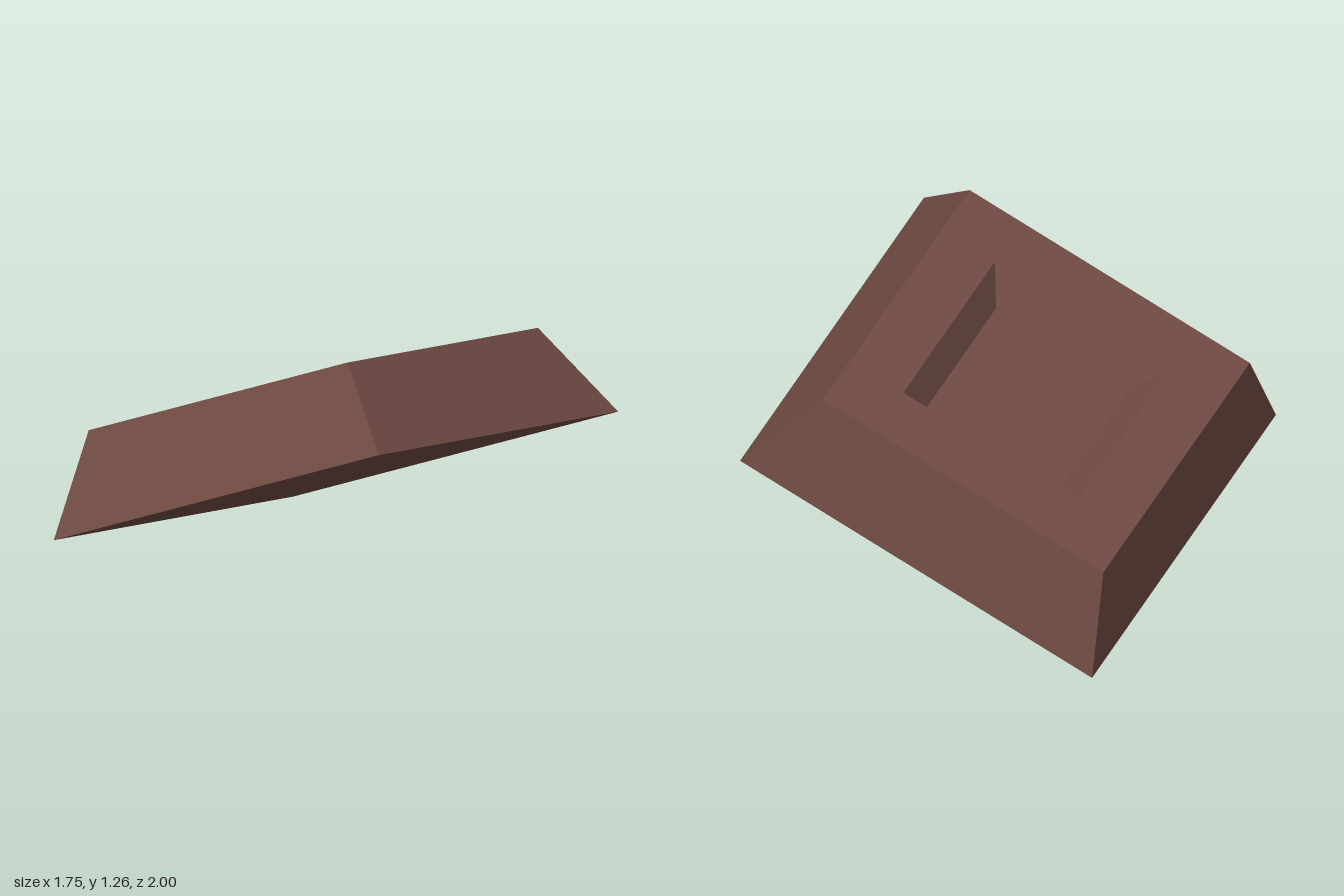
import * as THREE from 'three';

const brown = new THREE.MeshStandardMaterial({ color: 0x6f4a42 });
brown.name = 'chocolateBrown';

// Square stepped surface: each profile entry is [half side, height]
function squareLathe(name, profile) {
  const points = profile.map(([half, y]) => new THREE.Vector2(half * Math.SQRT2, y));
  const geometry = new THREE.LatheGeometry(points, 4, Math.PI / 4).toNonIndexed();
  geometry.computeVertexNormals(); // flat facets
  const mesh = new THREE.Mesh(geometry, brown);
  mesh.name = name;
  return mesh;
}

export function createModel() {
  const model = new THREE.Group();
  model.name = 'chocolatePiece';

  const block = new THREE.Group();
  block.name = 'tiltedBlock';

  // Base, sloping sides and flat top border
  block.add(squareLathe('outerShell', [[0, 0], [0.833, 0], [0.663, 0.4], [0.414, 0.4]]));
  // Sunken square with sloping walls
  block.add(squareLathe('recess', [[0.414, 0.4], [0.314, 0.276], [0, 0.276]]));

  // Tilt the block so that it stands on one corner
  const side = new THREE.Vector3(1.47, 0.675, -0.39).normalize();
  const up = new THREE.Vector3(0.27, 0.33, 1.61).cross(side).normalize();
  const front = side.clone().cross(up);
  block.quaternion.setFromRotationMatrix(new THREE.Matrix4().makeBasis(side, up, front));
  block.position.y = 0.502;

  model.add(block);
  return model;
}
